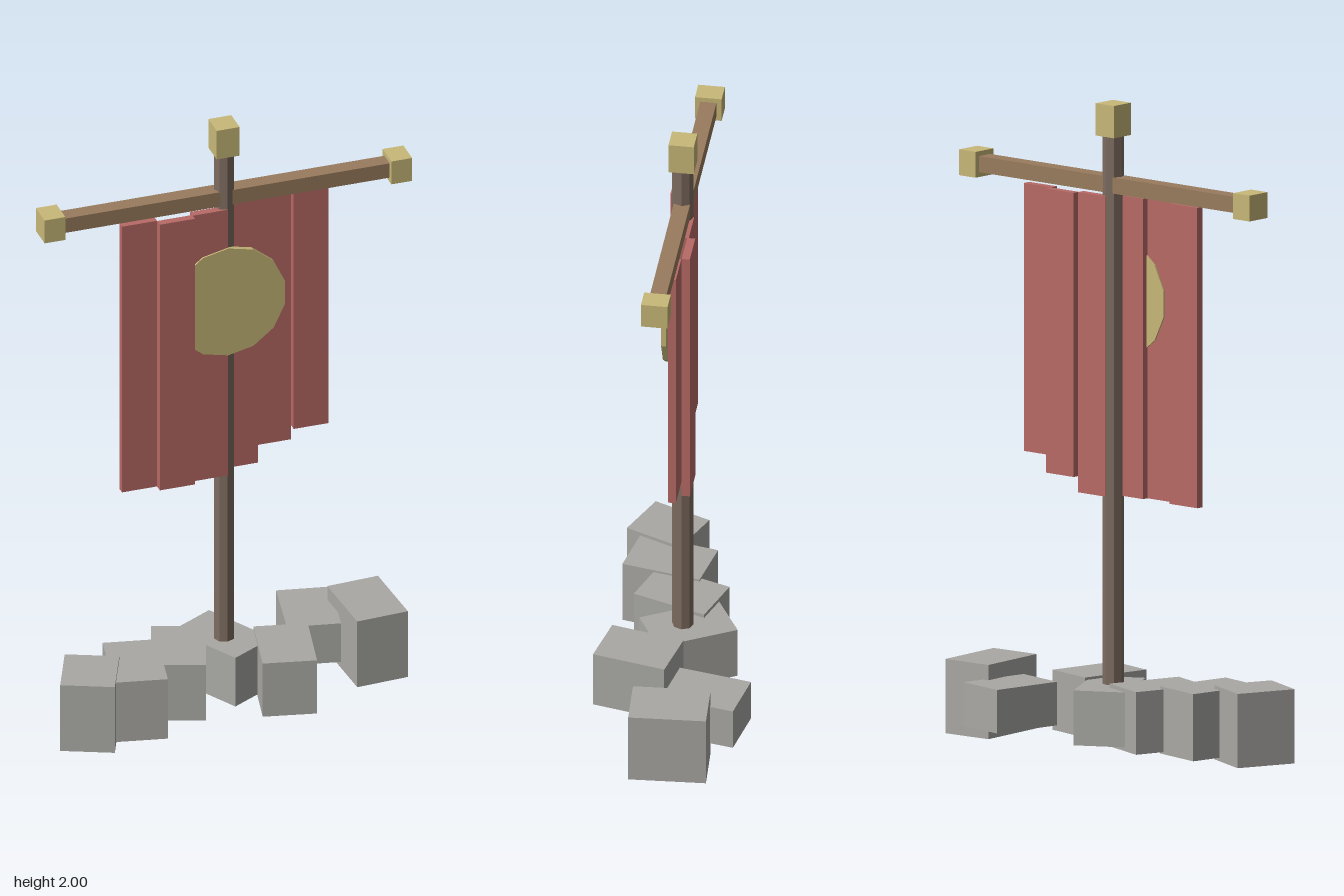
import * as THREE from 'three';

const mat = (name, color) => {
  const m = new THREE.MeshStandardMaterial({ color });
  m.name = name;
  return m;
};

export function createModel() {
  const group = new THREE.Group();
  const stone = mat('stone grey', 0xa9a8a4);
  const cloth = mat('faded red cloth', 0xb86a66);
  const gold = mat('dull gold', 0xc8b878);
  const wood = mat('brown wood', 0x997c5e);
  const poleWood = mat('dark wood', 0x7d6c60);
  poleWood.flatShading = gold.flatShading = true;

  const add = (name, geometry, material, x, y, z) => {
    const mesh = new THREE.Mesh(geometry, material);
    mesh.name = name;
    mesh.position.set(x, y, z);
    group.add(mesh);
    return mesh;
  };
  const box = (name, material, size, pos) =>
    add(name, new THREE.BoxGeometry(...size), material, ...pos);

  // Upright pole with its finial
  add('pole', new THREE.CylinderGeometry(0.033, 0.033, 1.8, 8), poleWood, 0, 1.0, 0);
  box('poleCap', gold, [0.074, 0.1, 0.078], [0, 1.95, 0]);

  // Crossbar with a cap on each end
  box('crossbar', wood, [1.1, 0.05, 0.05], [0, 1.75, 0]);
  for (const side of [-1, 1]) {
    box(side > 0 ? 'leftBarCap' : 'rightBarCap', gold, [0.067, 0.08, 0.082], [side * 0.559, 1.75, 0]);
  }

  // Hanging cloth: staggered vertical strips, [z, bottom height]
  const strips = [
    [0.0165, 0.785], [0.0425, 0.785], [0.0225, 0.785],
    [-0.0225, 0.785], [-0.0425, 0.835], [-0.0165, 0.885],
  ];
  const width = 0.113, top = 1.715;
  strips.forEach(([z, bottom], i) => {
    box('clothStrip' + (i + 1), cloth, [width, top - bottom, 0.025],
      [(i - 2.5) * width, (top + bottom) / 2, z]);
  });

  // Round emblem, partly tucked behind one strip
  const disc = add('emblemDisc', new THREE.CylinderGeometry(0.187, 0.187, 0.015, 14), gold, 0, 1.395, 0.0325);
  disc.rotation.x = Math.PI / 2;

  // Base stones: [x, z, depth, height, turn]
  const stones = [
    [-0.473, 0.116, 0.192, 0.23, -0.405],
    [-0.316, 0.086, 0.25, 0.208, -0.197],
    [-0.156, 0.027, 0.242, 0.194, -0.334],
    [0, -0.017, 0.258, 0.17, 0.505],
    [0.158, 0.114, 0.232, 0.186, -0.212],
    [0.314, -0.119, 0.23, 0.135, -0.19],
    [0.473, -0.029, 0.238, 0.23, 0.06],
  ];
  stones.forEach(([x, z, depth, height, turn], i) => {
    box('baseStone' + (i + 1), stone, [0.167, height, depth], [x, 0.117, z]).rotation.y = turn;
  });

  return group;
}
